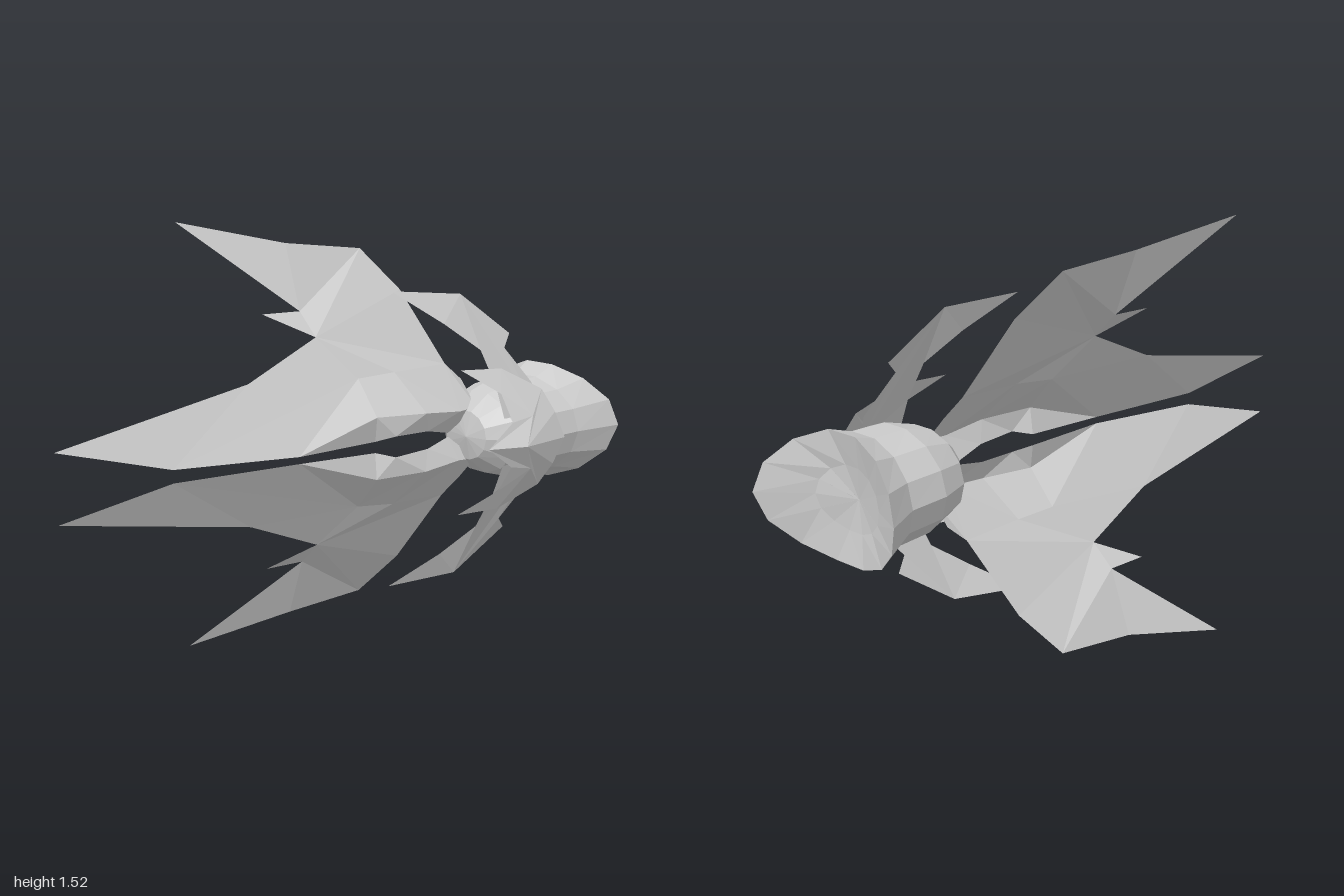
import * as THREE from 'three';

const MID = 0.765; // height of the mirror plane
const material = new THREE.MeshStandardMaterial({ color: 0xcccccc, flatShading: true, side: THREE.DoubleSide });

function meshFrom(name, points, index) {
  let g = new THREE.BufferGeometry();
  g.setAttribute('position', new THREE.Float32BufferAttribute(points.flat(), 3));
  g.setIndex(index);
  g = g.toNonIndexed();
  g.computeVertexNormals();
  const mesh = new THREE.Mesh(g, material);
  mesh.name = name;
  return mesh;
}

// Thin sheet from a 3D outline, triangulated as seen from the side
function sheet(name, outline) {
  const pts = outline.map(([x, y, z]) => [x, y - MID, z]);
  const flat = pts.map(([, y, z]) => new THREE.Vector2(-z, y));
  return meshFrom(name, pts, THREE.ShapeUtils.triangulateShape(flat, []).flat());
}

// Surface lofted through rows of equal length
function loft(name, rows, closed = false) {
  const n = rows[0].length, index = [];
  for (let r = 0; r < rows.length - 1; r++) {
    for (let i = 0; i < (closed ? n : n - 1); i++) {
      const j = (i + 1) % n, a = r * n + i, b = r * n + j;
      index.push(a, b, b + n, a, b + n, a + n);
    }
  }
  return meshFrom(name, rows.flat(), index);
}

// Flared bell with a bent rim and a shallow hollow end
function createBell() {
  const sides = 14;
  const ring = (cx, rx, ry, z, bend = 0) => Array.from({ length: sides }, (_, i) => {
    const a = (i / sides) * Math.PI * 2, c = Math.cos(a);
    return [cx + rx * c, ry * Math.sin(a), z - bend * c * c * (c > 0 ? 0.15 : 0.05)];
  });
  return loft('bell', [
    ring(0.16, 0.001, 0.001, -0.43),
    ring(0.14, 0.10, 0.09, -0.45),
    ring(0.135, 0.18, 0.15, -0.52),
    ring(0.14, 0.222, 0.182, -0.63),
    ring(0.14, 0.225, 0.185, -0.755, 0.3),
    ring(0.125, 0.268, 0.22, -0.845, 1),
    ring(0.11, 0.13, 0.11, -0.83, 0.3),
    ring(0.10, 0.001, 0.001, -0.82),
  ], true);
}

// One half: large wing, arm at its root, two curved side fins
function createHalf() {
  const half = new THREE.Group();

  const edge = [-0.11, 1.27, -0.35], notch = [-0.105, 1.138, 0.04];
  const root = [0.035, 1.01, -0.44], ridge = [0.02, 1.005, -0.21], fold = [-0.01, 0.995, -0.07];
  const armTip = [0.04, 0.777, 0.225];

  half.add(sheet('wingTipBlade', [
    [-0.4, 1.525, 0.4], [-0.27, 1.445, 0.04], [-0.215, 1.415, -0.25], edge,
    notch, [-0.2, 1.22, 0.195], [-0.18, 1.22, 0.05],
  ]));
  half.add(sheet('wingMiddle', [edge, root, ridge, fold, notch]));
  half.add(sheet('wingLongBlade', [
    notch, fold, armTip, [-0.06, 0.787, 0.65], [-0.165, 0.88, 1.0], [-0.105, 1.012, 0.325],
  ]));

  const lower = rows => rows.map(row => row.map(([x, y, z]) => [x, y - MID, z]));
  half.add(loft('wingArm', lower([
    [armTip, fold, ridge, root, [0.06, 0.95, -0.5]],
    [armTip, [0.09, 0.875, -0.07], [0.135, 0.87, -0.26], [0.14, 0.855, -0.42], [0.14, 0.86, -0.5]],
    [armTip, [0.07, 0.785, -0.08], [0.11, 0.802, -0.14], [0.11, 0.797, -0.29], [0.1, 0.772, -0.4]],
  ])));

  half.add(sheet('longSideFin', [
    [0.06, 1.295, -0.155], [0.145, 1.275, -0.4], [0.2, 1.125, -0.595], [0.22, 1.08, -0.55],
    [0.265, 0.95, -0.65], [0.305, 0.85, -0.64], [0.305, 0.85, -0.47], [0.27, 0.96, -0.46],
    [0.22, 1.085, -0.43], [0.16, 1.18, -0.31],
  ]));

  // Short fin, split along its crease
  const tip = [0.22, 1.025, -0.335], front = [0.30, 0.94, -0.455], low = [0.35, 0.845, -0.465];
  const crease = [0.365, 0.86, -0.55], back = [0.33, 0.94, -0.63];
  half.add(sheet('shortSideFin', [tip, [0.265, 1.02, -0.49], back, crease, low, front]));
  half.add(sheet('sideFinRootFront', [low, crease, [0.4, MID, -0.49], [0.345, MID, -0.355]]));
  half.add(sheet('sideFinRootBack', [crease, back, [0.37, 0.86, -0.66], [0.39, MID, -0.695], [0.4, MID, -0.49]]));
  return half;
}

export function createModel() {
  const model = new THREE.Group();
  model.name = 'wingedBell';
  const body = new THREE.Group();
  body.name = 'body';
  body.position.y = MID;
  const upper = createHalf(), under = createHalf();
  upper.name = 'upperHalf';
  under.name = 'lowerHalf';
  under.scale.y = -1;
  body.add(createBell(), upper, under);
  model.add(body);
  model.position.y = -0.005;
  return model;
}
